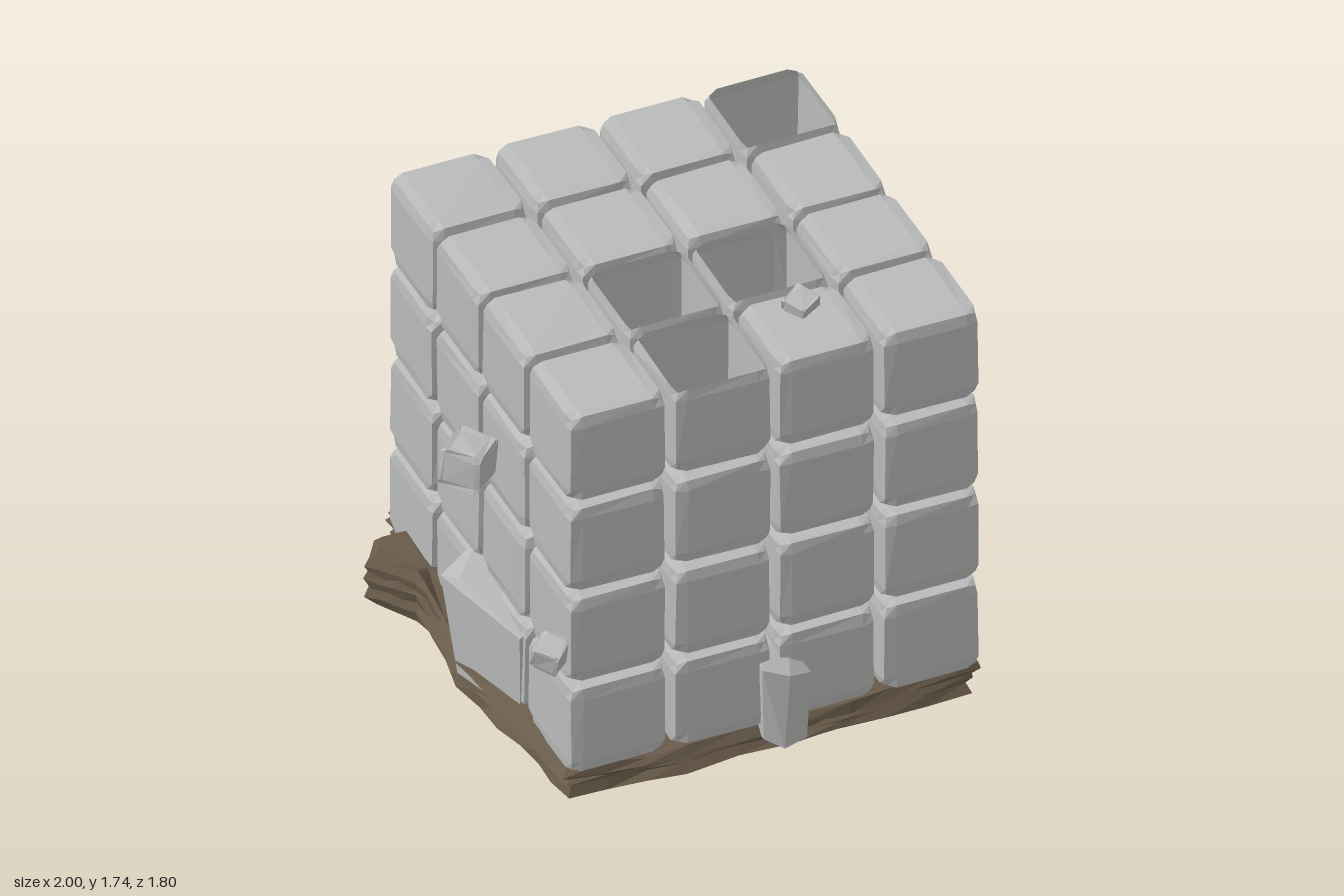
import * as THREE from 'three';
import { ConvexGeometry } from 'three/addons/geometries/ConvexGeometry.js';

const stone = new THREE.MeshStandardMaterial({ color: 0xb8bbb9, flatShading: true, side: THREE.DoubleSide });
stone.name = 'pale stone';
const earth = new THREE.MeshStandardMaterial({ color: 0x6a5c4b, flatShading: true, side: THREE.DoubleSide });
earth.name = 'brown rock';

// Repeatable pseudo-random number in -1..1
function wobble(a, b = 0, c = 0, seed = 0) {
  const s = Math.sin(a * 127.1 + b * 311.7 + c * 74.7 + seed * 53.3) * 43758.5453;
  return (s - Math.floor(s)) * 2 - 1;
}

// Chiselled cube: flat centre panels, bevelled borders, worn corners
function blockGeometry(size, seed, rough, openTop = false) {
  const geo = new THREE.BoxGeometry(1, 1, 1, 3, 3, 3);
  const p = geo.attributes.position;
  const outer = [0, 0.5, 0.483, 0.455];
  for (let i = 0; i < p.count; i++) {
    const v = [p.getX(i), p.getY(i), p.getZ(i)].map((c) => Math.round(c * 6) / 6);
    const extremes = v.filter((c) => Math.abs(c) > 0.4).length;
    const w = v.map((c, k) => {
      const m = Math.abs(c) > 0.4 ? outer[extremes] : 0.365;
      return (Math.sign(c) * m + rough * wobble(v[0] + k, v[1], v[2], seed)) * size;
    });
    p.setXYZ(i, ...w);
  }
  if (openTop) {
    const top = geo.groups[2];
    const index = Array.from(geo.index.array);
    index.splice(top.start, top.count);
    geo.setIndex(index);
    geo.clearGroups();
  }
  geo.computeVertexNormals();
  return geo;
}

// Layered rock slab: ragged rings stacked from y0 up to each outline point's own top height
function slabGeometry(outline, y0, profile, seed, rough) {
  const ring = [];
  outline.forEach((a, i) => {
    const b = outline[(i + 1) % outline.length];
    for (let k = 0; k < 3; k++) ring.push(a.map((c, j) => c + (b[j] - c) * k / 3));
  });
  const n = ring.length;
  const mid = [0, 1, 2].map((j) => ring.reduce((s, r) => s + r[j], 0) / n);
  const pos = [], index = [];
  profile.forEach(([t, scale], k) => ring.forEach((r, i) => {
    const s = scale + rough * wobble(i, k, 0, seed);
    const dy = t > 0 ? 0.012 * wobble(i, k, 5, seed) : 0;
    pos.push(mid[0] + (r[0] - mid[0]) * s, y0 + (r[2] - y0) * t + dy, mid[1] + (r[1] - mid[1]) * s);
  }));
  const rows = profile.length, low = rows * n, high = low + 1;
  pos.push(mid[0], y0, mid[1], mid[0], mid[2], mid[1]);
  for (let i = 0; i < n; i++) {
    const j = (i + 1) % n;
    for (let k = 0; k < rows - 1; k++) {
      const a = k * n + i, b = k * n + j;
      index.push(a, b, b + n, a, b + n, a + n);
    }
    index.push(low, j, i, high, (rows - 1) * n + i, (rows - 1) * n + j);
  }
  const geo = new THREE.BufferGeometry();
  geo.setAttribute('position', new THREE.Float32BufferAttribute(pos, 3));
  geo.setIndex(index);
  geo.computeVertexNormals();
  return geo;
}

export function createModel() {
  const model = new THREE.Group();
  model.name = 'blockCube';
  const add = (name, geo, mat, parent = model) => {
    const mesh = new THREE.Mesh(geo, mat);
    mesh.name = name;
    parent.add(mesh);
    return mesh;
  };

  // Four by four by four stack of blocks, four of the top ones open
  const blocks = new THREE.Group();
  blocks.name = 'blocks';
  model.add(blocks);
  const xs = [-0.56, -0.172, 0.213, 0.6];
  const ys = [0.345, 0.728, 1.112, 1.497];
  const zs = [0.655, 0.27, -0.113, -0.5];
  const open = ['1,0', '1,1', '2,1', '3,3'];
  xs.forEach((x, i) => ys.forEach((y, j) => zs.forEach((z, k) => {
    const isOpen = j === 3 && open.includes(`${i},${k}`);
    const geo = blockGeometry(0.358, i + j * 4 + k * 16, 0.008, isOpen);
    add(isOpen ? 'openBlock' : 'block', geo, stone, blocks).position.set(x, y, z);
  })));

  // Rock base, outline points are x, z, top height
  add('rockBase', slabGeometry([
    [0.79, 0.8, 0.17], [0.8, 0.42, 0.23], [0.86, 0.1, 0.25], [0.85, -0.2, 0.25], [0.77, -0.55, 0.19],
    [0.45, -0.69, 0.19], [0, -0.7, 0.2], [-0.68, -0.66, 0.18], [-0.79, -0.4, 0.2],
    [-0.84, 0.05, 0.22], [-0.77, 0.45, 0.2], [-0.74, 0.79, 0.17], [-0.3, 0.82, 0.16], [0.3, 0.82, 0.16],
  ], 0.01, [[0, 0.93], [0.12, 0.97], [0.35, 0.95], [0.45, 0.98], [0.62, 0.97], [0.75, 1.01], [0.92, 0.99], [1, 0.93]],
  1, 0.012), earth);

  // Ledges jutting out at the left and the back
  const ledge = [[0, 0.8], [0.2, 0.97], [0.38, 0.88], [0.55, 1], [0.7, 0.92], [0.88, 0.98], [1, 0.85]];
  add('leftLedge', slabGeometry([
    [-0.55, -0.08, 0.22], [-0.55, -0.55, 0.24], [-0.85, -0.56, 0.27],
    [-0.94, -0.43, 0.28], [-0.83, -0.25, 0.3], [-0.8, -0.05, 0.22],
  ], 0.09, ledge, 2, 0.03), earth);
  add('backLedge', slabGeometry([
    [-0.04, -0.55, 0.24], [-0.03, -0.73, 0.26], [-0.17, -0.91, 0.29],
    [-0.36, -0.83, 0.32], [-0.73, -0.71, 0.24], [-0.72, -0.55, 0.22],
  ], 0.1, ledge, 3, 0.03), earth);

  // Stone shards wedged against the sides
  const shard = (name, points) =>
    add(name, new ConvexGeometry(points.map((q) => new THREE.Vector3(...q))), stone);
  shard('leftShard', [
    [-0.87, 0.52, 0.05], [-0.83, 0.13, 0.1], [-0.83, 0.54, 0.12], [-0.74, 0.13, 0.42], [-0.75, 0.48, 0.44],
    [-0.27, 0.53, 0.2], [-0.27, 0.5, -0.04], [-0.7, 0.565, -0.03], [-0.73, 0.13, -0.02], [-0.4, 0.2, 0.1],
  ]);
  shard('frontShard', [
    [-0.03, 0.12, 0.85], [0.03, 0.09, 0.89], [0.13, 0.08, 0.85], [0.15, 0.1, 0.78], [-0.03, 0.12, 0.75],
    [-0.04, 0.42, 0.86], [0.05, 0.39, 0.89], [0.14, 0.36, 0.86], [0.16, 0.37, 0.6],
    [-0.02, 0.46, 0.78], [0.09, 0.45, 0.78], [0, 0.5, 0.42],
  ]);
  shard('rightShard', [
    [0.79, 0.22, -0.28], [0.79, 0.24, 0.04], [0.6, 0.2, -0.32], [0.6, 0.2, 0.09], [0.79, 0.46, -0.28],
    [0.8, 0.5, -0.2], [0.79, 0.49, 0.02], [0.42, 0.53, 0.09], [0.42, 0.53, -0.32], [0.7, 0.53, -0.1],
  ]);

  // Loose pebbles around and between the blocks: x, y, z, size
  [
    [-0.91, 1.24, 0.37, 0.15], [0.91, 0.84, -0.32, 0.135], [-0.785, 0.67, 0.78, 0.1],
    [0.23, 1.685, 0.57, 0.095], [0.755, 1.43, 0.71, 0.09], [-0.365, 1.5, -0.67, 0.09],
    [0.02, 1.28, 0.44, 0.12], [0.4, 0.53, -0.31, 0.13], [0.4, 0.53, 0.07, 0.13], [-0.365, 0.53, 0.07, 0.12],
  ].forEach(([x, y, z, size], i) => {
    const pebble = add('pebble', blockGeometry(size, i + 90, 0.05), stone);
    pebble.position.set(x, y, z);
    pebble.rotation.set(0.2 + 0.1 * wobble(i), 0.4 + 0.5 * wobble(i, 1), 0.15 * wobble(i, 2));
  });
  return model;
}
